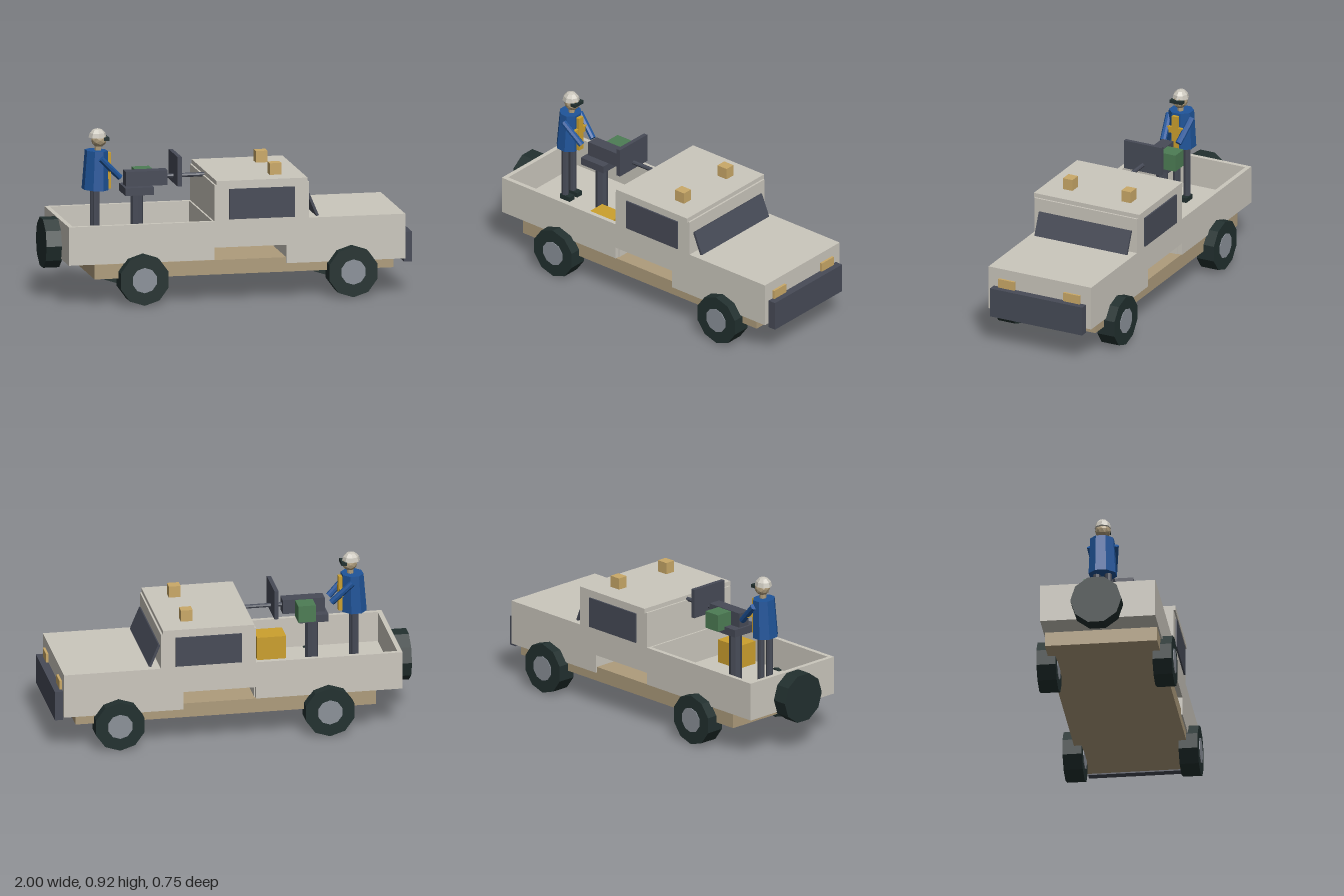
import * as THREE from 'three';

const mat = (name, color) => {
  const m = new THREE.MeshStandardMaterial({ color, flatShading: true });
  m.name = name;
  return m;
};

export function createModel() {
  const M = {
    body: mat('sandWhite', 0xcbc7bd),
    dark: mat('darkSteel', 0x474b57),
    tire: mat('rubber', 0x22302f),
    hub: mat('hubGrey', 0x8b9199),
    lamp: mat('lampAmber', 0xcaa968),
    yellow: mat('yellow', 0xcca02e),
    tan: mat('tan', 0xae9c7c),
    blue: mat('clothBlue', 0x1f5499),
    green: mat('green', 0x4d7d55),
  };
  const root = new THREE.Group();
  root.name = 'pickupTruck';
  const group = (name) => {
    const g = new THREE.Group();
    g.name = name;
    root.add(g);
    return g;
  };
  const add = (parent, name, geo, material, x = 0, y = 0, z = 0) => {
    const m = new THREE.Mesh(geo, material);
    m.name = name;
    m.position.set(x, y, z);
    parent.add(m);
    return m;
  };
  // Box given by its extents on each axis
  const box = (parent, name, material, [x0, x1], [y0, y1], [z0, z1]) =>
    add(parent, name, new THREE.BoxGeometry(x1 - x0, y1 - y0, z1 - z0), material,
      (x0 + x1) / 2, (y0 + y1) / 2, (z0 + z1) / 2);
  // Round rod between two points
  const rod = (parent, name, material, a, b, r, sides = 8) => {
    const p = new THREE.Vector3(...a), q = new THREE.Vector3(...b);
    const d = q.clone().sub(p);
    const m = add(parent, name, new THREE.CylinderGeometry(r, r, d.length(), sides), material);
    m.position.copy(p).add(q).multiplyScalar(0.5);
    m.quaternion.setFromUnitVectors(new THREE.Vector3(0, 1, 0), d.normalize());
    return m;
  };

  // Chassis, bonnet and cab
  const truck = group('truckBody');
  box(truck, 'chassis', M.tan, [-0.77, 0.89], [0.145, 0.225], [-0.307, 0.307]);
  box(truck, 'bonnet', M.body, [0.295, 0.955], [0.193, 0.44], [-0.315, 0.315]);
  box(truck, 'cab', M.body, [-0.105, 0.42], [0.295, 0.64], [-0.315, 0.315]);
  box(truck, 'roof', M.body, [-0.095, 0.41], [0.637, 0.664], [-0.324, 0.324]);
  const screen = add(truck, 'windscreen', new THREE.BoxGeometry(0.014, 0.135, 0.566), M.dark, 0.449, 0.505, 0);
  screen.rotation.z = 0.4;
  box(truck, 'bumper', M.dark, [0.955, 1.0], [0.168, 0.333], [-0.283, 0.283]);

  // Load bed
  box(truck, 'bedFloor', M.body, [-0.91, -0.105], [0.228, 0.27], [-0.31, 0.31]);
  box(truck, 'tailgate', M.body, [-0.915, -0.89], [0.228, 0.44], [-0.315, 0.315]);
  box(truck, 'bedFront', M.body, [-0.115, -0.1], [0.228, 0.44], [-0.29, 0.29]);

  // Mirrored side parts
  for (const s of [1, -1]) {
    const span = (a, b) => (s > 0 ? [a, b] : [-b, -a]);
    box(truck, 'bedSide', M.body, [-0.89, -0.105], [0.228, 0.44], span(0.29, 0.315));
    box(truck, 'sideWindow', M.dark, [-0.025, 0.34], [0.45, 0.617], span(0.316, 0.325));
    box(truck, 'headlight', M.lamp, [0.955, 0.968], [0.325, 0.383], span(0.15, 0.25));
    box(truck, 'roofLight', M.lamp, [0.225, 0.29], [0.664, 0.728], span(0.15, 0.208));
    for (const x of [-0.505, 0.655]) {
      const wheel = group('wheel');
      wheel.position.set(x, 0.14, s * 0.3175);
      add(wheel, 'tire', new THREE.CylinderGeometry(0.14, 0.14, 0.105, 10), M.tire).rotation.x = Math.PI / 2;
      add(wheel, 'hub', new THREE.CylinderGeometry(0.07, 0.07, 0.112, 10), M.hub).rotation.x = Math.PI / 2;
    }
  }

  // Spare wheel on the tailgate
  const spare = add(root, 'spareWheel', new THREE.CylinderGeometry(0.14, 0.14, 0.09, 10), M.tire, -0.955, 0.302, 0);
  spare.rotation.z = Math.PI / 2;

  // Mounted gun and cargo
  const gun = group('mountedGun');
  rod(gun, 'post', M.dark, [-0.47, 0.27, 0], [-0.47, 0.56, 0], 0.035);
  box(gun, 'mountPlate', M.dark, [-0.55, -0.39], [0.555, 0.597], [-0.082, 0.082]);
  box(gun, 'receiver', M.dark, [-0.537, -0.305], [0.597, 0.678], [-0.035, 0.035]);
  rod(gun, 'barrel', M.dark, [-0.31, 0.642, 0], [-0.09, 0.642, 0], 0.012);
  box(gun, 'shield', M.dark, [-0.267, -0.244], [0.602, 0.765], [-0.115, 0.115]);
  box(gun, 'ammoBox', M.green, [-0.47, -0.373], [0.58, 0.675], [-0.133, -0.035]);
  box(root, 'cargoCrate', M.yellow, [-0.355, -0.195], [0.27, 0.4], [0.133, 0.262]);

  // Standing crew member
  const crew = group('crewMember');
  const torso = add(crew, 'torso', new THREE.CylinderGeometry(0.06, 0.07, 0.215, 8), M.blue, -0.698, 0.692, 0);
  torso.scale.z = 1.15;
  torso.rotation.set(0, Math.PI / 8, -0.04);
  for (const s of [1, -1]) {
    rod(crew, 'leg', M.dark, [-0.703, 0.28, s * 0.032], [-0.703, 0.6, s * 0.032], 0.02);
    box(crew, 'boot', M.tire, [-0.725, -0.655], [0.27, 0.297], [s * 0.032 - 0.02, s * 0.032 + 0.02]);
    rod(crew, 'arm', M.blue, [-0.685, 0.765, s * 0.07], [-0.573, 0.653, s * 0.047], 0.018);
  }
  box(crew, 'vestUpright', M.yellow, [-0.637, -0.617], [0.588, 0.785], [-0.018, 0.018]);
  box(crew, 'vestCross', M.yellow, [-0.635, -0.619], [0.685, 0.72], [-0.065, 0.065]);
  rod(crew, 'neck', M.tan, [-0.685, 0.79, 0], [-0.685, 0.83, 0], 0.018);
  add(crew, 'head', new THREE.IcosahedronGeometry(0.043, 1), M.tan, -0.68, 0.858, 0);
  box(crew, 'goggles', M.tire, [-0.66, -0.63], [0.855, 0.873], [-0.037, 0.037]);
  const helmet = add(crew, 'helmet', new THREE.SphereGeometry(0.05, 8, 3, 0, Math.PI * 2, 0, Math.PI / 2), M.body, -0.688, 0.871, 0);
  helmet.scale.z = 0.9;
  const brim = add(crew, 'helmetBase', new THREE.CircleGeometry(0.05, 8), M.body, -0.688, 0.871, 0);
  brim.rotation.x = Math.PI / 2;
  brim.scale.y = 0.9;

  return root;
}
